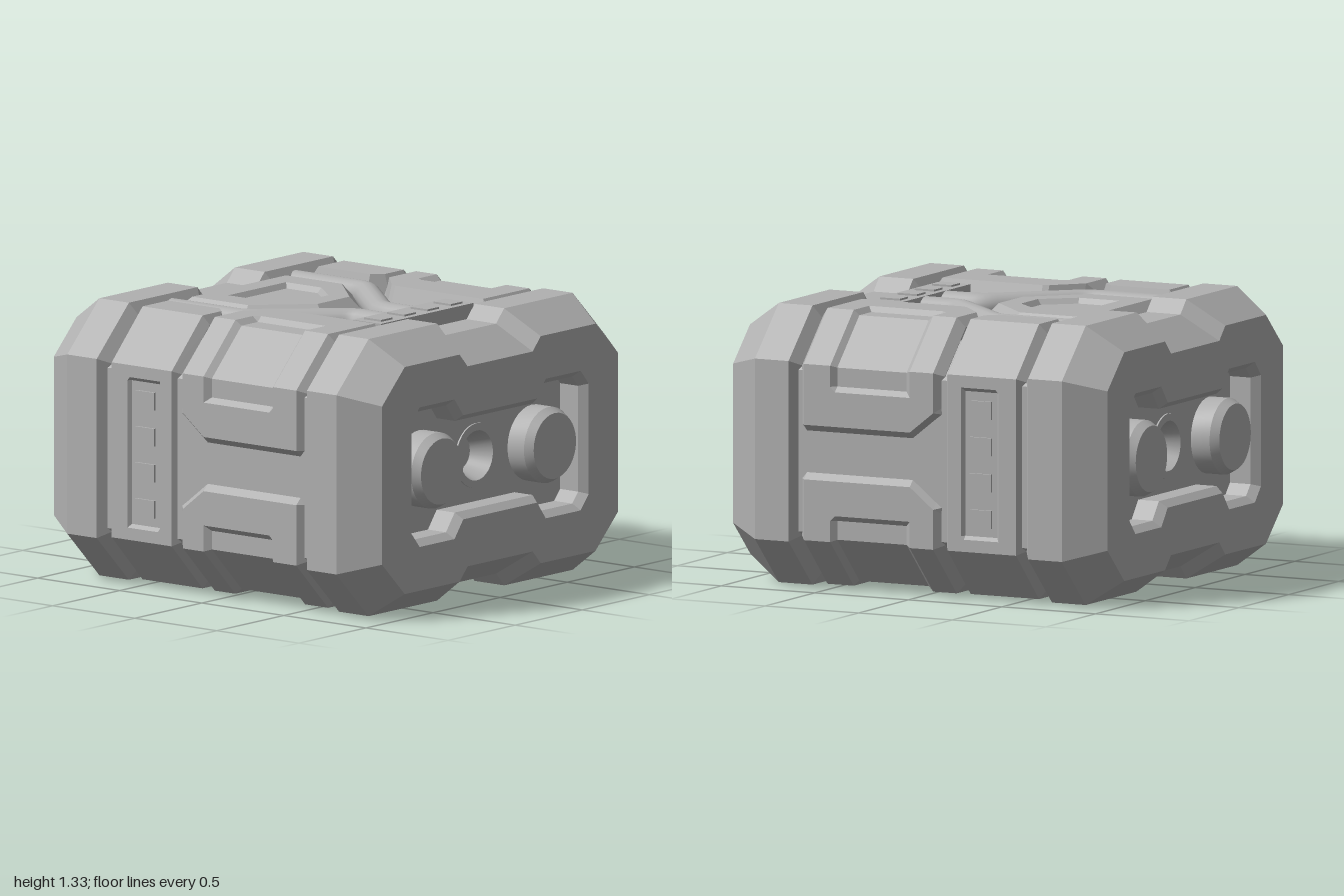
import * as THREE from 'three';
import { mergeGeometries, toCreasedNormals } from 'three/addons/utils/BufferGeometryUtils.js';

const H = 0.665; // half height; parts are built around the crate's centre
const DECK = 0.555; // height of the sunken deck above the centre

// Outline from its first-quadrant points, mirrored in x and y (counter-clockwise)
function quadOutline(q) {
  const r = [...q].reverse();
  return [...q, ...r.map(([x, y]) => [-x, y]), ...q.map(([x, y]) => [-x, -y]), ...r.map(([x, y]) => [x, -y])];
}

// Moves every edge of a counter-clockwise outline inward by d
function inset(pts, d) {
  const n = pts.length;
  const normal = (a, b) => {
    const l = Math.hypot(b[0] - a[0], b[1] - a[1]);
    return [-(b[1] - a[1]) / l, (b[0] - a[0]) / l];
  };
  return pts.map((p, i) => {
    const a = normal(pts[(i + n - 1) % n], p), b = normal(p, pts[(i + 1) % n]);
    const k = d / (1 + a[0] * b[0] + a[1] * b[1]);
    return [p[0] + (a[0] + b[0]) * k, p[1] + (a[1] + b[1]) * k];
  });
}

// Skin between rings given as { z, pts }
function loft(rings, closed = true) {
  const pos = [];
  for (let r = 0; r + 1 < rings.length; r++) {
    const A = rings[r], B = rings[r + 1], n = A.pts.length;
    for (let i = 0; i < (closed ? n : n - 1); i++) {
      const j = (i + 1) % n;
      const a = [...A.pts[i], A.z], b = [...A.pts[j], A.z], c = [...B.pts[j], B.z], d = [...B.pts[i], B.z];
      pos.push(...a, ...b, ...c, ...a, ...c, ...d);
    }
  }
  const g = new THREE.BufferGeometry();
  g.setAttribute('position', new THREE.Float32BufferAttribute(pos, 3));
  return g;
}

// Flat face at height z, with holes
function face(pts, z, holes = [], back = false) {
  const v = (p) => p.map(([x, y]) => new THREE.Vector2(x, y));
  const s = new THREE.Shape(v(pts));
  s.holes = holes.map((h) => new THREE.Path(v(h)));
  const g = new THREE.ShapeGeometry(s).toNonIndexed();
  g.deleteAttribute('uv');
  g.deleteAttribute('normal');
  g.translate(0, 0, z);
  return back ? mirror(g, 1, 1, 1, true) : g;
}

function join(...list) {
  const g = mergeGeometries(list);
  g.computeVertexNormals();
  return g;
}

// Mirrored copy with the corner order kept right
function mirror(geo, sx, sy, sz, flip = sx * sy * sz < 0) {
  const g = (geo.index ? geo.toNonIndexed() : geo.clone()).scale(sx, sy, sz);
  if (flip) {
    for (const a of Object.values(g.attributes)) {
      const s = a.itemSize;
      for (let i = 0; i < a.count; i += 3) {
        for (let k = 0; k < s; k++) {
          const p = (i + 1) * s + k, q = (i + 2) * s + k, t = a.array[p];
          a.array[p] = a.array[q];
          a.array[q] = t;
        }
      }
    }
  }
  return g;
}

// Plate with a bevelled rim and a recess: levels are [inset, z]
function recessedPlate(outline, levels, hole, holeLevels, floorHoles = []) {
  const rings = levels.map(([d, z]) => ({ z, pts: inset(outline, d) }));
  const well = holeLevels.map(([d, z]) => ({ z, pts: inset(hole, d) }));
  const top = rings[rings.length - 1], floor = well[well.length - 1];
  return join(loft(rings), face(rings[0].pts, rings[0].z, [], true), face(top.pts, top.z, [hole]),
    loft(well), face(floor.pts, floor.z, floorHoles));
}

// Lathe whose axis points along z
function turned(points, crease = 0.5) {
  const g = new THREE.LatheGeometry(points.map(([x, y]) => new THREE.Vector2(x, y)), 32);
  return toCreasedNormals(g.rotateX(Math.PI / 2), crease);
}

export function createModel() {
  const model = new THREE.Group();
  model.name = 'crate';
  const crate = new THREE.Group();
  crate.name = 'crateParts';
  crate.position.y = H;
  model.add(crate);
  const grey = new THREE.MeshStandardMaterial({ color: 0xb0b0b0 });
  grey.name = 'grey';
  const add = (name, geo, sx = 1, sy = 1, sz = 1) => {
    const m = new THREE.Mesh(mirror(geo, sx, sy, sz), grey);
    m.name = name;
    crate.add(m);
  };
  const signs = [1, -1];

  // Core
  const core = quadOutline([[0.955, 0.385], [0.785, DECK]]);
  add('core', join(loft([{ z: -0.62, pts: core }, { z: 0.62, pts: core }])));

  // End caps with their recess, buttons and socket
  const capOutline = quadOutline([[1, 0.43], [0.76, H], [0.25, H], [0.19, 0.6]]);
  const recess = quadOutline([[0.66, 0.265], [0.6, 0.335], [0.34, 0.335], [0.275, 0.25]]);
  const socketHole = Array.from({ length: 32 }, (_, i) => {
    const a = (i / 32) * Math.PI * 2;
    return [0.125 * Math.cos(a), 0.125 * Math.sin(a)];
  });
  const cap = recessedPlate(capOutline, [[0.06, 0.6], [0, 0.64], [0, 0.82], [0.12, 1]],
    recess, [[0, 1], [0.03, 0.96], [0.03, 0.85]], [socketHole]);
  const button = turned([[0.182, 0], [0.182, 0.1], [0.158, 0.14], [0, 0.14]]);
  const socket = turned([[0.155, -0.01], [0.155, 0.008], [0.12, 0.008], [0.08, -0.1], [0, -0.1]]).translate(0, 0, 0.85);
  for (const sz of signs) {
    add('endCap', cap, 1, 1, sz);
    add('socket', socket, 1, 1, sz);
    for (const sx of signs) add('button', button.clone().translate(0.42, 0, 0.85), sx, 1, sz);
  }

  // Corner armour: stations are [z, side edge y, top edge x, inset, recess depth]
  const corner = [
    [-0.165, 0.22, 0.55, 0.1, 0], [-0.165, 0.22, 0.55, 0.045, 0], [-0.125, 0.19, 0.51, 0, 0],
    [0, 0.09, 0.375, 0, 0], [0.03, 0.09, 0.365, 0, 0.025], [0.4, 0.09, 0.365, 0, 0.025],
    [0.425, 0.09, 0.365, 0, 0], [0.565, 0.09, 0.365, 0, 0], [0.6, 0.09, 0.365, 0.045, 0], [0.6, 0.09, 0.365, 0.1, 0],
  ].map(([z, y0, x1, d, r]) => {
    const e = d + r, X = 0.987, Y = 0.657;
    return { z, pts: [[0.945, y0], [X - d, y0 + 0.04], [X - d, 0.295], [X - e, 0.32], [X - e, 0.42 - 0.4 * e],
      [0.75 - 0.4 * e, Y - e], [0.62, Y - e], [0.595, Y - d], [x1 + 0.04, Y - d], [x1, DECK - 0.01]] };
  });
  // Rear band wrapping the side, with a slot: stations are [z, top edge x, inset, slot depth]
  const band = [
    [-0.6, 0.53, 0.1, 0], [-0.6, 0.53, 0.045, 0], [-0.565, 0.53, 0, 0], [-0.47, 0.53, 0, 0], [-0.455, 0.53, 0, 0.018],
    [-0.285, 0.53, 0, 0.018], [-0.27, 0.53, 0, 0], [-0.25, 0.53, 0, 0], [-0.2, 0.58, 0, 0],
    [-0.17, 0.61, 0.045, 0], [-0.17, 0.61, 0.1, 0],
  ].map(([z, x1, d, r]) => {
    const X = 0.98 - d, Y = 0.655 - d;
    const up = [[X - r, 0.345], [X, 0.362], [X, 0.42 - 0.4 * d], [0.75 - 0.4 * d, Y], [x1 + 0.03, Y], [x1, DECK - 0.01]];
    return { z, pts: [...[...up].reverse().map(([x, y]) => [x, -y]), ...up] };
  });
  const cornerGeo = join(loft(corner, false)), bandGeo = join(loft(band, false));
  for (const sx of signs) {
    add('rearBand', bandGeo, sx);
    for (const sy of signs) add('cornerArmour', cornerGeo, sx, sy);
    // Row of side lights in the slot
    for (let i = 0; i < 4; i++) {
      add('sideLight', new THREE.BoxGeometry(0.03, 0.085, 0.115).translate(0.96, (i - 1.5) * 0.173, -0.37), sx);
    }
  }

  // Hatch between the pipes
  const hatch = recessedPlate(
    [[0.4, 0.64], [-0.4, 0.64], [-0.4, 0.23], [-0.14, -0.035], [0.14, -0.035], [0.4, 0.23]],
    [[0, DECK - 0.01], [0, DECK + 0.03], [0.05, 0.64]],
    [[0.215, 0.48], [-0.215, 0.48], [-0.215, 0.265], [-0.085, 0.115], [0.085, 0.115], [0.215, 0.265]],
    [[0, 0.64], [0.02, 0.615]]).rotateX(-Math.PI / 2);

  // Bent pipe
  const P = (x, z) => new THREE.Vector3(x, 0.58, z);
  const path = new THREE.CurvePath();
  path.add(new THREE.LineCurve3(P(0.46, -0.63), P(0.46, -0.25)));
  path.add(new THREE.QuadraticBezierCurve3(P(0.46, -0.25), P(0.46, -0.19), P(0.42, -0.145)));
  path.add(new THREE.LineCurve3(P(0.42, -0.145), P(0.15, 0.15)));
  path.add(new THREE.QuadraticBezierCurve3(P(0.15, 0.15), P(0.105, 0.195), P(0.105, 0.25)));
  path.add(new THREE.LineCurve3(P(0.105, 0.25), P(0.105, 0.4)));
  const pipe = new THREE.TubeGeometry(path, 48, 0.065, 16, false);

  // Deck fittings, top and bottom
  for (const sy of signs) {
    add('hatch', hatch, 1, sy);
    for (const sx of signs) add('pipe', pipe, sx, sy);
    add('pipeSocket', new THREE.BoxGeometry(0.36, 0.07, 0.05).translate(0, 0.575, 0.37), 1, sy);
    add('lightBar', new THREE.BoxGeometry(0.69, 0.1, 0.17).translate(0, 0.595, 0.47), 1, sy);
    for (let i = 0; i < 4; i++) {
      add('deckLight', new THREE.BoxGeometry(0.085, 0.02, 0.105).translate((i - 1.5) * 0.173, 0.644, 0.47), 1, sy);
    }
  }
  return model;
}
